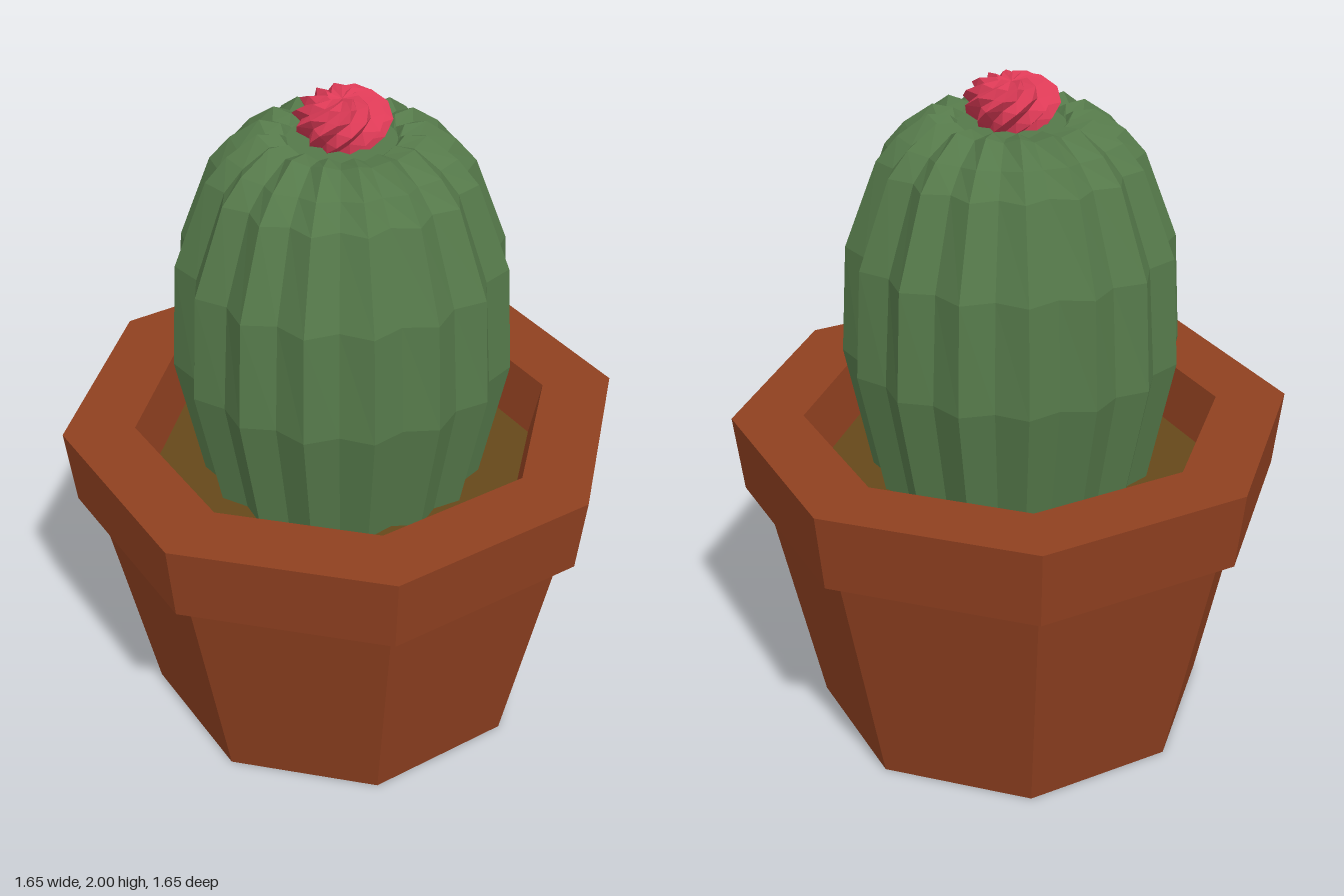
import * as THREE from 'three';

// Turned low-poly part from [radius, height] pairs
function turned(name, profile, sides, color) {
  const points = profile.map(([r, y]) => new THREE.Vector2(r, y));
  const mesh = new THREE.Mesh(
    new THREE.LatheGeometry(points, sides),
    new THREE.MeshStandardMaterial({ color, flatShading: true })
  );
  mesh.name = name;
  return mesh;
}

// Ribbed part from rings [ridge radius, height, groove scale, groove drop, twist];
// every second column of vertices is pushed in to form a groove
function ribbed(name, rings, ribs, color) {
  const mesh = turned(name, rings, ribs * 2, color);
  const pos = mesh.geometry.attributes.position;
  for (let i = 0; i < pos.count; i++) {
    const column = Math.floor(i / rings.length);
    const [r, y, groove, drop, twist] = rings[i % rings.length];
    const inGroove = column % 2 === 1;
    const radius = inGroove ? r * groove : r;
    const angle = (column * Math.PI) / ribs + twist;
    pos.setXYZ(i, radius * Math.sin(angle), inGroove ? y - drop : y, radius * Math.cos(angle));
  }
  mesh.geometry.computeVertexNormals();
  return mesh;
}

export function createModel() {
  const model = new THREE.Group();
  model.name = 'pottedCactus';

  // Octagonal pot with an overhanging rim and an inner wall down to the soil
  model.add(turned('pot', [
    [0, 0], [0.595, 0], [0.75, 0.755], [0.8, 0.755],
    [0.825, 0.99], [0.615, 0.99], [0.58, 0.82],
  ], 8, 0x8f4020));

  // Soil
  model.add(turned('soil', [[0.58, 0.82], [0, 0.82]], 8, 0x66481a));

  // Cactus body with sixteen ribs
  model.add(ribbed('cactusBody', [
    [0.415, 0.82, 0.92, 0, 0],
    [0.49, 1.2, 0.92, 0, 0],
    [0.47, 1.52, 0.91, 0, 0],
    [0.375, 1.77, 0.9, 0, 0],
    [0.315, 1.84, 0.9, 0.01, 0],
    [0.23, 1.9, 0.9, 0.02, 0],
    [0.17, 1.895, 0.92, 0.02, 0],
    [0.15, 1.87, 1, 0, 0],
    [0, 1.87, 1, 0, 0],
  ], 16, 0x55794a));

  // Swirled flower on top
  model.add(ribbed('flower', [
    [0.1, 1.87, 0.8, 0, -0.6],
    [0.125, 1.9, 0.8, 0, -0.3],
    [0.137, 1.935, 0.8, 0, 0],
    [0.125, 1.965, 0.8, 0.005, 0.35],
    [0.09, 1.99, 0.8, 0.01, 0.7],
    [0.045, 2, 0.8, 0.01, 1.1],
    [0, 1.985, 1, 0, 1.4],
  ], 10, 0xdc3a56));

  return model;
}
